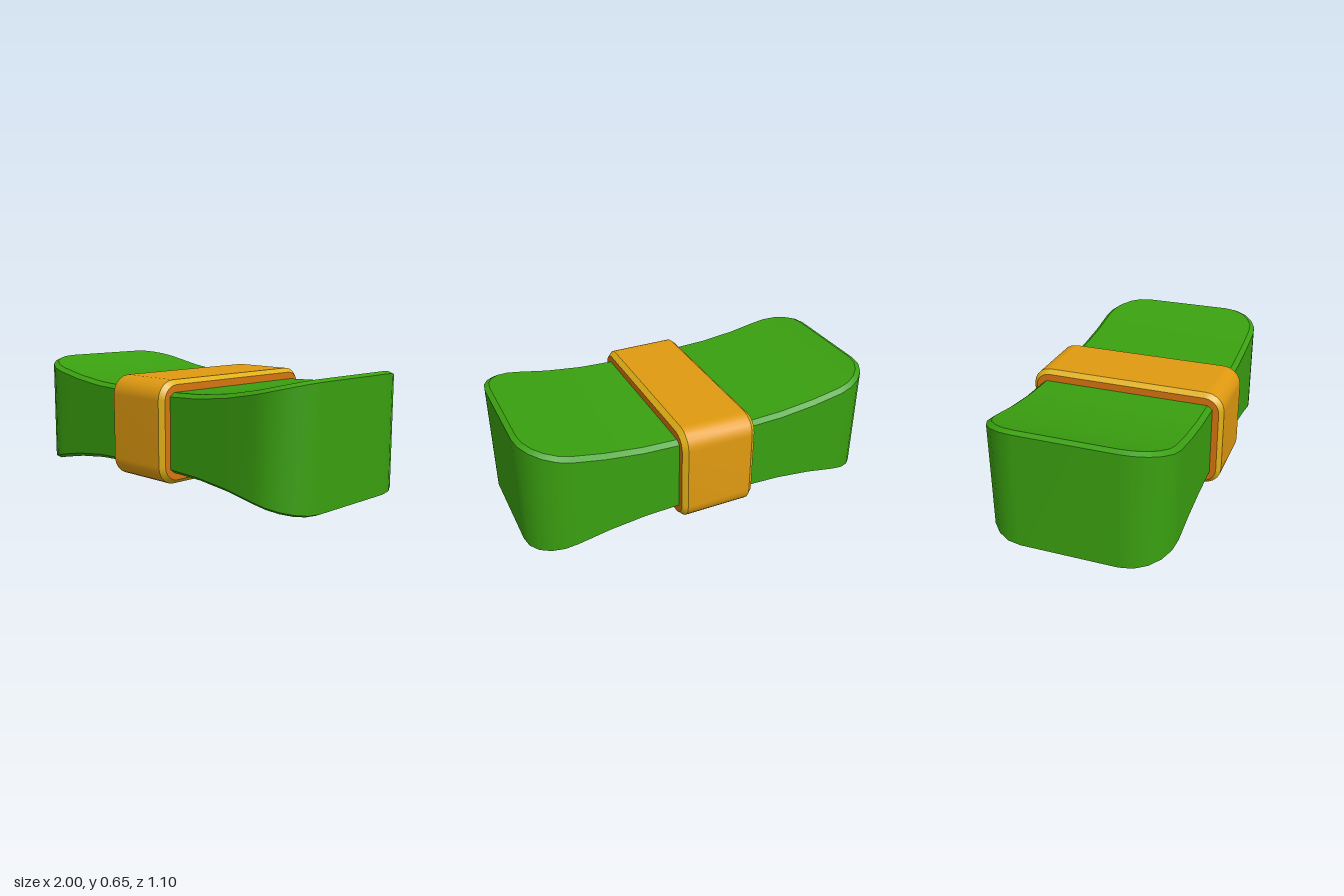
import * as THREE from 'three';
import { mergeGeometries } from 'three/addons/utils/BufferGeometryUtils.js';

const CENTRE_Y = 0.325;

// Half outline [u, v > 0] of a rounded rectangle, from -u to +u
function halfOutline(halfU, halfV, r, straights) {
  const right = [];
  const steps = 5;
  for (let i = 0; i <= steps; i++) {
    const a = (i / steps) * Math.PI / 2;
    right.push([halfU - r + r * Math.sin(a), halfV - r + r * Math.cos(a)]);
  }
  const left = right.map(([u, v]) => [-u, v]).reverse();
  return [...left, ...straights.map(u => [u, halfV]), ...right];
}

// Closed loop made from a half outline and its mirror image
const closeLoop = half => [...half, ...half.map(([u, v]) => [u, -v]).reverse()];

// Skin between two loops of points; the loops may be open or closed
function skin(lower, upper, closed) {
  const n = lower.length;
  const index = [];
  for (let i = 0; i < (closed ? n : n - 1); i++) {
    const j = (i + 1) % n;
    index.push(i, j, n + j, i, n + j, n + i);
  }
  const g = new THREE.BufferGeometry();
  g.setAttribute('position', new THREE.Float32BufferAttribute([...lower, ...upper].flat(), 3));
  g.setIndex(index);
  g.computeVertexNormals();
  return g;
}

// Bevelled slab: outer half outline, inset half outline, and a rule placing
// (u, v, side, inset?) in space. Gives wall, bevel and cap geometries.
function slab(outer, inset, place) {
  const ring = (half, side, isInset) => closeLoop(half).map(([u, v]) => place(u, v, side, isInset));
  const row = (side, sign) => inset.map(([u, v]) => place(u, sign * v, side, true));
  const low = ring(outer, -1, false), high = ring(outer, 1, false);
  return {
    wall: skin(low, high, true),
    bevel: mergeGeometries([
      skin(high, ring(inset, 1, true), true),
      skin(ring(inset, -1, true), low, true),
    ]),
    cap: mergeGeometries([
      skin(row(1, 1), row(1, -1), false),
      skin(row(-1, -1), row(-1, 1), false),
    ]),
  };
}

function material(name, color) {
  const m = new THREE.MeshStandardMaterial({ color });
  m.name = name;
  return m;
}

function addMesh(parent, name, geometry, mat) {
  const mesh = new THREE.Mesh(geometry, mat);
  mesh.name = name;
  parent.add(mesh);
}

export function createModel() {
  const green = material('green', 0x3aa010);
  const amber = material('amber', 0xe09a10);
  const orange = material('orange', 0xd87510);
  const gold = material('gold', 0xe0b015);
  const model = new THREE.Group();
  model.name = 'bow';

  // Green body, flaring in height towards both ends
  const flare = x => 0.21 + 0.19 * Math.max(0, Math.abs(x) - 0.2) ** 2;
  const straights = [-0.6, -0.4, -0.2, 0.2, 0.4, 0.6];
  const body = slab(
    halfOutline(1, 0.49, 0.23, straights),
    halfOutline(0.973, 0.463, 0.205, straights),
    (x, z, side, isInset) => [x, CENTRE_Y + side * (flare(x) - (isInset ? 0 : 0.02)), z],
  );
  addMesh(model, 'body', mergeGeometries([body.wall, body.bevel, body.cap]), green);

  // Band around the middle, with its own edge and side colours
  const knot = new THREE.Group();
  knot.name = 'centreBand';
  const band = slab(
    halfOutline(0.548, 0.273, 0.1, []),
    halfOutline(0.525, 0.25, 0.08, []),
    (z, y, side, isInset) => [side * (isInset ? 0.208 : 0.182), CENTRE_Y + y, z],
  );
  addMesh(knot, 'bandOuter', band.wall, amber);
  addMesh(knot, 'bandEdges', band.bevel, gold);
  addMesh(knot, 'bandSides', band.cap, orange);
  model.add(knot);

  return model;
}
